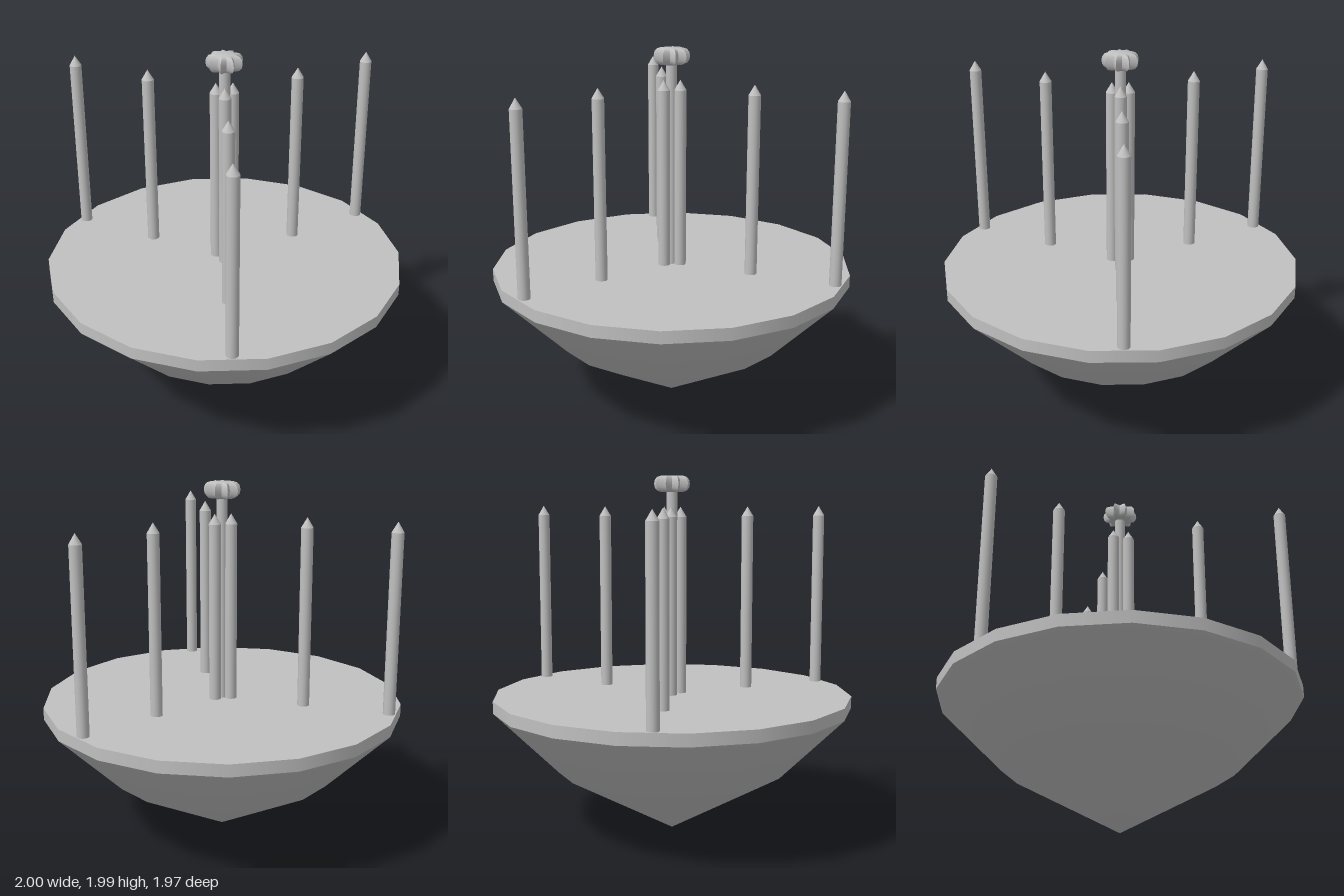
import * as THREE from 'three';
import { toCreasedNormals } from 'three/addons/utils/BufferGeometryUtils.js';

const gray = new THREE.MeshStandardMaterial({ color: 0xc0c0c0 });
gray.name = 'gray';

const SIDES = 18;
const DECK_Y = 0.785;

// Revolved profile given as [radius, height] pairs, bottom to top
function lathe(profile, sides, start = 0) {
  const points = profile.map(([r, y]) => new THREE.Vector2(r, y));
  return new THREE.LatheGeometry(points, sides, start);
}

function addMesh(parent, name, geometry, x = 0, y = 0, z = 0) {
  const mesh = new THREE.Mesh(geometry, gray);
  mesh.name = name;
  mesh.position.set(x, y, z);
  parent.add(mesh);
  return mesh;
}

// Star-shaped knob: every second column of the lathe is pulled inward
function knobGeometry() {
  const profile = [
    [0, 1.905], [0.062, 1.905], [0.083, 1.912], [0.096, 1.928], [0.1, 1.949],
    [0.096, 1.97], [0.083, 1.986], [0.062, 1.993], [0, 1.993],
  ];
  const points = 9;
  const geometry = lathe(profile, points * 2, Math.PI + 0.1);
  const position = geometry.attributes.position;
  for (let i = 0; i < position.count; i++) {
    const column = Math.floor(i / profile.length);
    if (column % 2 === 1) {
      position.setX(i, position.getX(i) * 0.68);
      position.setZ(i, position.getZ(i) * 0.68);
    }
  }
  return toCreasedNormals(geometry, 0.7);
}

export function createModel() {
  const model = new THREE.Group();
  model.name = 'peggedTop';

  // Pointed bowl underneath
  const bowl = lathe([[0, 0], [0.645, 0.364], [1, 0.718]], SIDES, Math.PI / 2);
  addMesh(model, 'bowl', bowl);

  // Flat deck
  const deck = new THREE.CylinderGeometry(1, 1, DECK_Y - 0.718, SIDES, 1, false, Math.PI / 2);
  addMesh(model, 'deck', deck, 0, (DECK_Y + 0.718) / 2, 0);

  // Three radial rows of pointed pegs
  const shaft = new THREE.CylinderGeometry(0.033, 0.033, 0.99, 16);
  const tip = new THREE.ConeGeometry(0.033, 0.055, 16, 1, true);
  for (let row = 0; row < 3; row++) {
    const angle = (row * Math.PI * 2) / 3;
    for (const radius of [0.052, 0.472, 0.947]) {
      const peg = new THREE.Group();
      peg.name = 'peg';
      peg.position.set(Math.sin(angle) * radius, 0, Math.cos(angle) * radius);
      addMesh(peg, 'pegShaft', shaft, 0, 1.275, 0);
      addMesh(peg, 'pegTip', tip, 0, 1.7975, 0);
      model.add(peg);
    }
  }

  // Central stem and knob
  addMesh(model, 'stem', new THREE.CylinderGeometry(0.03, 0.03, 1.135, 16), 0, 1.3475, 0);
  addMesh(model, 'knob', knobGeometry());

  return model;
}
